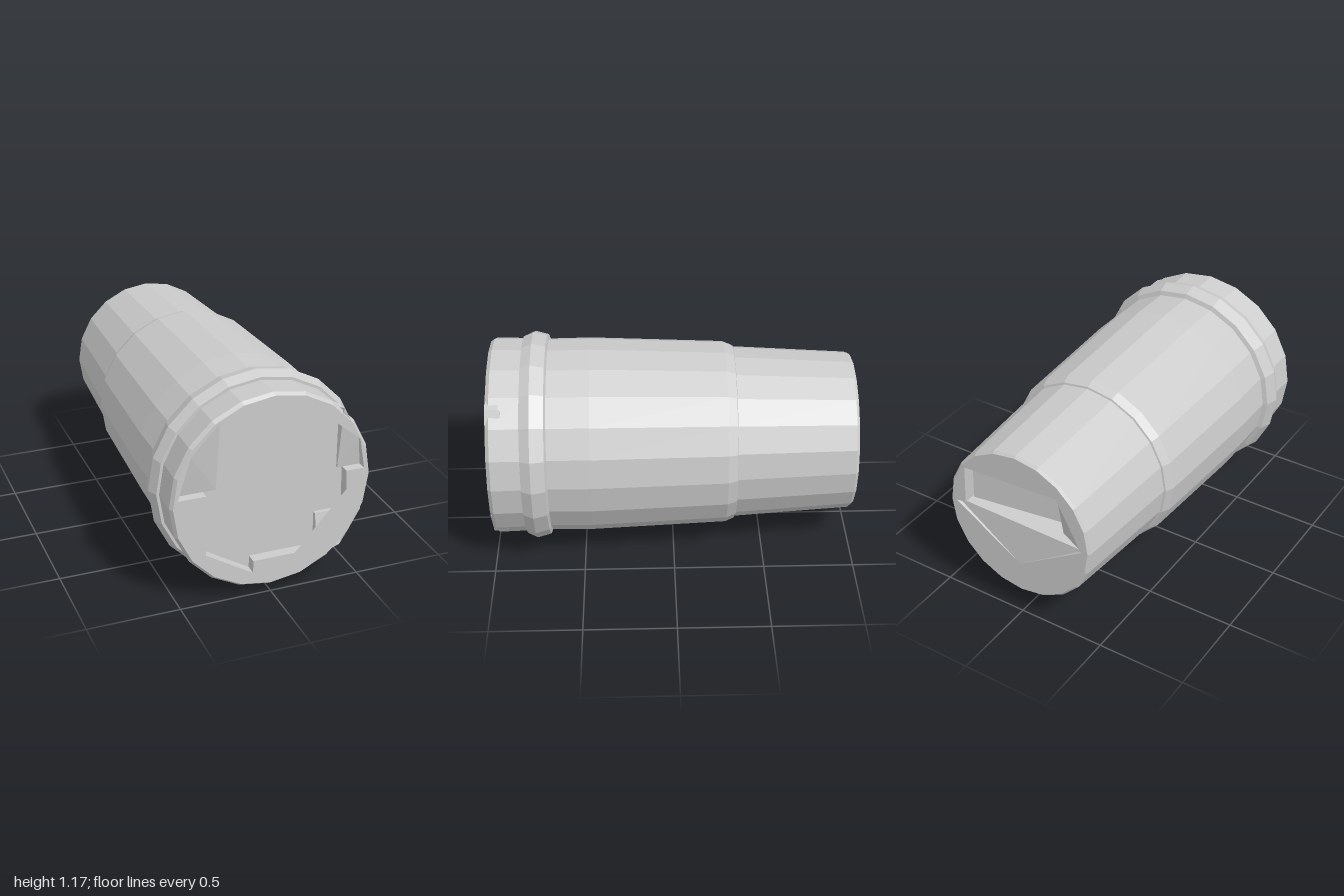
import * as THREE from 'three';
import { ConvexGeometry } from 'three/addons/geometries/ConvexGeometry.js';

const SIDES = 20;
const CY = 0.585; // height of the tube's axis

export function createModel() {
  const model = new THREE.Group();
  model.name = 'taperedTube';
  const grey = new THREE.MeshStandardMaterial({
    color: 0xcccccc, flatShading: true, side: THREE.DoubleSide,
  });

  const add = (name, geometry) => {
    const mesh = new THREE.Mesh(geometry, grey);
    mesh.name = name;
    model.add(mesh);
    return mesh;
  };

  // Turned section along z: profile is a list of [radius, z]
  const turned = (name, profile) => {
    const g = new THREE.LatheGeometry(profile.map(([r, z]) => new THREE.Vector2(r, z)), SIDES);
    g.rotateX(Math.PI / 2);
    g.translate(0, CY, 0);
    return add(name, g);
  };

  // End plate with a cut-out, from z0 to z1
  const plate = (name, radius, z0, z1, cutout) => {
    const ring = [];
    for (let i = 0; i < SIDES; i++) {
      const a = -Math.PI / 2 + (i * 2 * Math.PI) / SIDES;
      ring.push(new THREE.Vector2(radius * Math.cos(a), CY + radius * Math.sin(a)));
    }
    const shape = new THREE.Shape(ring);
    shape.holes.push(new THREE.Path(cutout.map(([x, y]) => new THREE.Vector2(x, y))));
    const g = new THREE.ExtrudeGeometry(shape, { depth: z1 - z0, bevelEnabled: false });
    g.translate(0, 0, z0);
    return add(name, g);
  };

  // Sloped filler: surface corners [x, y, z] extended straight to a base plane
  const ramp = (name, corners, baseZ) => {
    const pts = [];
    for (const [x, y, z] of corners) {
      pts.push(new THREE.Vector3(x, y, z), new THREE.Vector3(x, y, baseZ));
    }
    return add(name, new ConvexGeometry(pts));
  };

  // Outer sections
  turned('rearSleeve', [[0.43, -1], [0.442, -0.985], [0.482, -0.34], [0.482, -0.32]]);
  turned('mainBody', [[0.475, -0.345], [0.492, -0.34], [0.512, -0.29], [0.543, 0.45], [0.54, 0.68]]);
  turned('collar', [[0.54, 0.68], [0.565, 0.69], [0.585, 0.765], [0.56, 0.82], [0.54, 0.82]]);
  turned('frontRim', [[0.545, 0.815], [0.55, 0.98], [0.535, 1]]);

  // Front face with its shallow recess
  plate('frontFace', 0.535, 0.93, 1, [
    [-0.36, 0.29], [-0.1, 0.13], [-0.1, 0.2], [0.39, 0.2], [0.5, 0.39], [0.42, 0.39],
    [0.41, 0.63], [0.51, 0.63], [0.48, 0.8], [0.38, 0.99], [0.145, 1.08],
    [-0.1, 1.09], [-0.29, 1.02], [-0.44, 0.86], [-0.51, 0.63], [-0.36, 0.63],
  ]);
  const frontFloor = new THREE.CircleGeometry(0.535, SIDES);
  frontFloor.translate(0, CY, 0.94);
  add('frontFloor', frontFloor);

  // Sloped fillers inside the front recess
  ramp('frontRampRight', [[-0.51, 0.63, 0.95], [-0.29, 0.63, 0.95], [-0.29, 1.02, 1], [-0.44, 0.86, 0.99]], 0.92);
  ramp('frontRampLeft', [[0.51, 0.63, 0.95], [0.38, 0.63, 0.95], [0.38, 0.99, 1], [0.48, 0.8, 0.98]], 0.92);
  ramp('frontRampLower', [[0.26, 0.2, 0.995], [0.39, 0.2, 0.995], [0.5, 0.39, 0.96], [0.26, 0.39, 0.96]], 0.92);

  // Back face with a pocket in its upper half
  plate('backFace', 0.43, -1, -0.8, [
    [-0.39, 0.58], [-0.245, 0.86], [0.33, 0.83], [0.34, 0.6], [0.4, 0.59], [0, 0.33],
  ]);
  ramp('backPocketFloor', [
    [0.34, 0.58, -0.93], [0.33, 0.84, -0.93], [-0.245, 0.87, -0.84], [-0.245, 0.58, -0.84],
  ], -0.75);
  ramp('backPocketSide', [[-0.39, 0.58, -0.99], [-0.245, 0.86, -0.99], [-0.23, 0.58, -0.92]], -0.75);
  ramp('backRampLower', [[0.4, 0.59, -0.98], [-0.39, 0.58, -0.98], [0, 0.57, -0.955], [0, 0.33, -1]], -0.75);

  return model;
}
